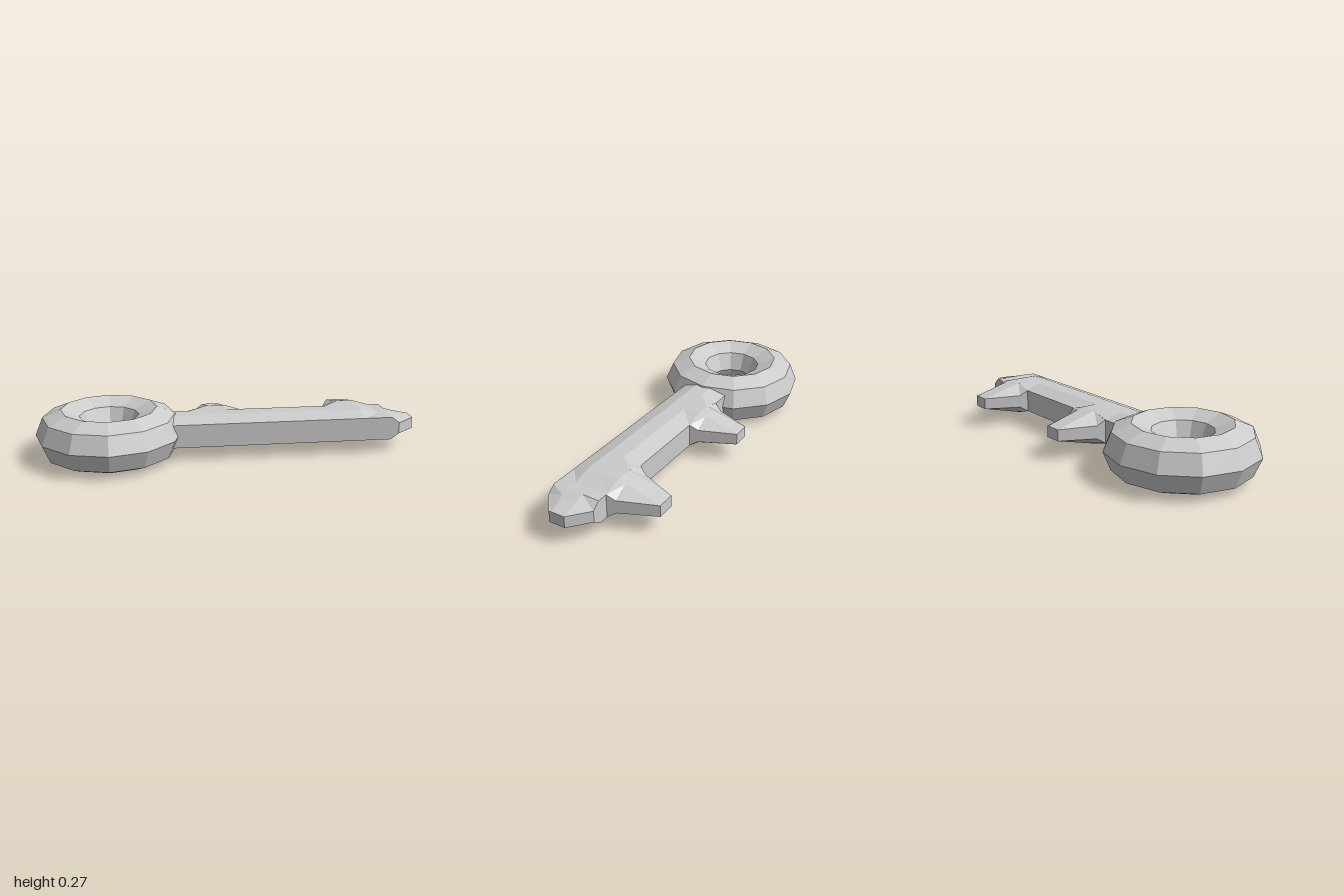
import * as THREE from 'three';

const MID = 0.134; // height of the horizontal symmetry plane

// Skin a list of rings (each running clockwise about the loft direction).
function loft(rings, capStart = true) {
  const pos = [], n = rings[0].length;
  const tri = (...pts) => pts.forEach(p => pos.push(...p));
  for (let s = 0; s < rings.length - 1; s++) {
    const r0 = rings[s], r1 = rings[s + 1];
    for (let i = 0; i < n; i++) {
      const j = (i + 1) % n;
      tri(r0[i], r1[i], r1[j]);
      tri(r0[i], r1[j], r0[j]);
    }
  }
  const last = rings[rings.length - 1];
  for (let i = 1; i < n - 1; i++) {
    if (capStart) tri(rings[0][0], rings[0][i], rings[0][i + 1]);
    tri(last[0], last[i + 1], last[i]);
  }
  const g = new THREE.BufferGeometry();
  g.setAttribute('position', new THREE.Float32BufferAttribute(pos, 3));
  g.computeVertexNormals();
  return g;
}

export function createModel() {
  const group = new THREE.Group();
  const mat = new THREE.MeshStandardMaterial({ color: 0xcccccc, flatShading: true });
  const add = (name, geo) => {
    const m = new THREE.Mesh(geo, mat);
    m.name = name;
    group.add(m);
    return m;
  };

  // Ring handle lying flat
  const ring = add('ringHandle', new THREE.TorusGeometry(0.247, 0.133, 8, 12).rotateX(Math.PI / 2));
  ring.position.set(-0.62, MID, 0);

  // Shaft: bevelled bar whose back bevel fills out at each tooth, tapering to a blunt tip
  // [x, front z, back z, inner z, front half height, top half height, back half height]
  const sections = [
    [-0.3, 0.122, -0.13, 0.042, 0.061, 0.088, 0.061],
    [-0.2, 0.122, -0.13, 0.042, 0.061, 0.088, 0.061],
    [-0.1, 0.122, -0.13, 0.042, 0.061, 0.088, 0.088],
    [-0.01, 0.122, -0.13, 0.042, 0.061, 0.088, 0.088],
    [0.08, 0.122, -0.13, 0.042, 0.061, 0.088, 0.061],
    [0.54, 0.122, -0.13, 0.042, 0.061, 0.088, 0.061],
    [0.62, 0.122, -0.13, 0.042, 0.061, 0.088, 0.088],
    [0.71, 0.122, -0.13, 0.042, 0.061, 0.088, 0.088],
    [0.8, 0.122, -0.13, 0.042, 0.061, 0.064, 0.061],
    [0.86, 0.122, -0.13, 0.042, 0.061, 0.064, 0.061],
    [0.9, 0.122, -0.13, 0.042, 0.03, 0.052, 0.03],
    [1.0, 0.04, -0.045, 0.025, 0.03, 0.03, 0.03],
  ];
  add('shaft', loft(sections.map(([x, zf, zb, zi, hf, ht, hb]) => {
    const top = [[zf, hf], [zi, ht], [-zi, ht], [zb, hb]];
    return [
      ...top.map(([z, h]) => [x, MID + h, z]),
      ...top.reverse().map(([z, h]) => [x, MID - h, z]),
    ];
  })));

  // Teeth: wedges flaring out to meet the back of the shaft
  // [z, half width, inner half width, edge half height, middle half height]
  const toothSections = [
    [-0.13, 0.138, 0.045, 0.061, 0.088],
    [-0.17, 0.122, 0.045, 0.034, 0.078],
    [-0.357, 0.046, 0.04, 0.03, 0.03],
  ];
  const tooth = loft(toothSections.map(([z, w, wi, h, hm]) => [
    [w, -h], [w, h], [wi, hm], [-wi, hm], [-w, h], [-w, -h], [-wi, -hm], [wi, -hm],
  ].map(([x, y]) => [x, y, z])), false);
  [['innerTooth', -0.058], ['outerTooth', 0.668]].forEach(([name, x]) => {
    add(name, tooth).position.set(x, MID, 0);
  });

  return group;
}
